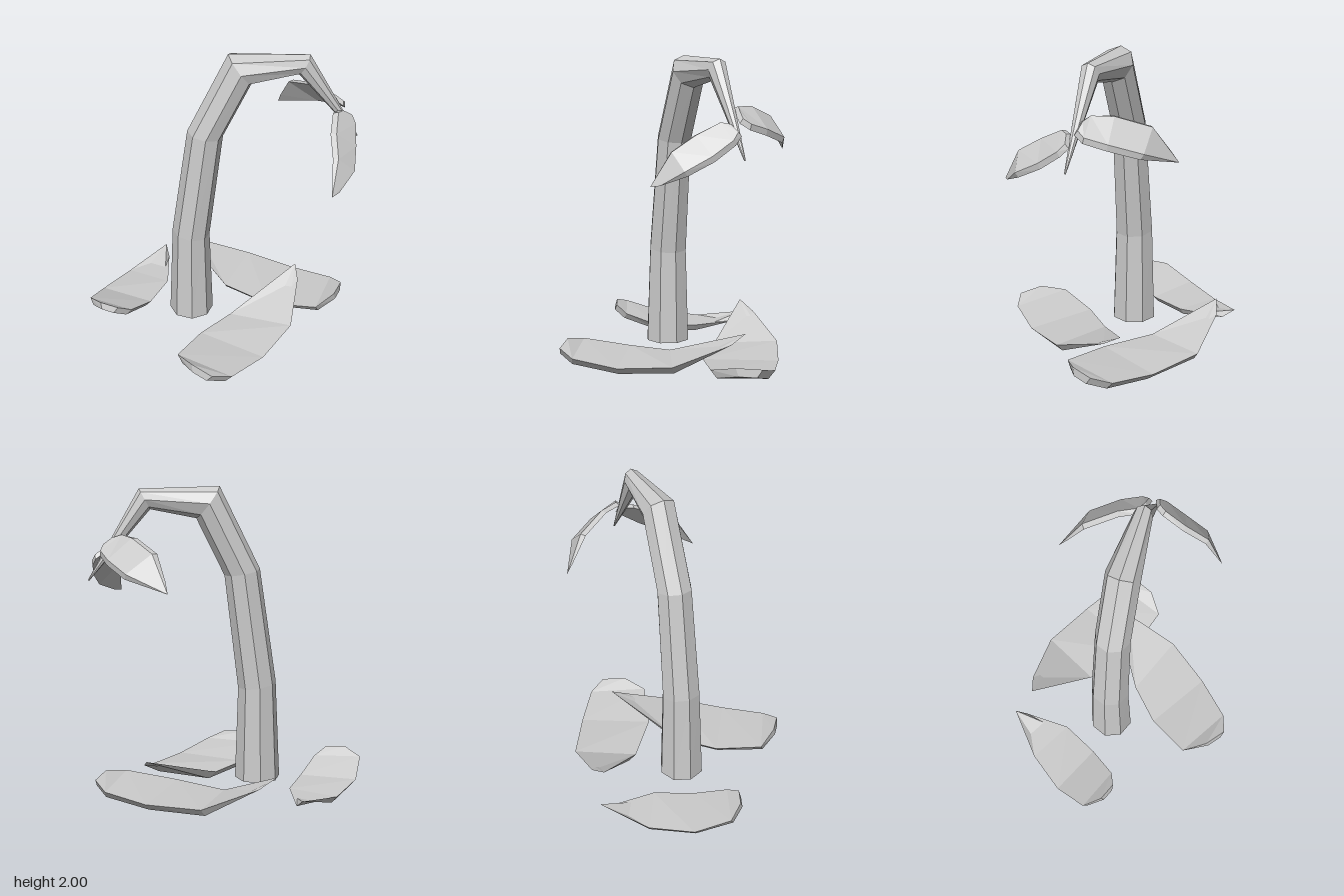
import * as THREE from 'three';

const material = new THREE.MeshStandardMaterial({ color: 0xcccccc, flatShading: true, side: THREE.DoubleSide });

// Skin a row of equal-sized closed rings, optionally closing the first one (four corners).
function loft(rings, capStart) {
  const pos = [];
  const quad = (a, b, c, d) => {
    for (const p of [a, b, c, a, c, d]) pos.push(p.x, p.y, p.z);
  };
  for (let i = 0; i < rings.length - 1; i++) {
    const n = rings[i].length;
    for (let j = 0; j < n; j++) {
      const k = (j + 1) % n;
      quad(rings[i][j], rings[i][k], rings[i + 1][k], rings[i + 1][j]);
    }
  }
  if (capStart) quad(rings[0][3], rings[0][2], rings[0][1], rings[0][0]);
  const geo = new THREE.BufferGeometry();
  geo.setAttribute('position', new THREE.Float32BufferAttribute(pos, 3));
  geo.computeVertexNormals();
  return geo;
}

// Octagonal stem: each row is outer x, y, inner x, y, half width in z.
function stemGeometry() {
  const rows = [
    [-0.34, 0.06, -0.04, 0.06, 0.15],
    [-0.31, 0.72, -0.06, 0.68, 0.13],
    [-0.20, 1.47, 0.03, 1.43, 0.115],
    [0.06, 2.0, 0.21, 1.80, 0.11],
    [0.57, 1.99, 0.50, 1.86, 0.06],
    [0.90, 1.42, 0.895, 1.41, 0.006],
  ];
  const rings = rows.map(([ox, oy, ix, iy, r]) => Array.from({ length: 8 }, (_, j) => {
    const a = (j * Math.PI) / 4;
    const c = Math.cos(a) / 2;
    return new THREE.Vector3(
      (ox + ix) / 2 + c * (ox - ix), (oy + iy) / 2 + c * (oy - iy), -0.075 + r * Math.sin(a));
  }));
  return loft(rings, false);
}

// Leaf: left and right rim points from blunt end to tip; the back bulges out by depth.
function leafGeometry(rows, depth) {
  const rim = rows.map(([lx, ly, lz, rx, ry, rz]) =>
    [new THREE.Vector3(lx, ly, lz), new THREE.Vector3(rx, ry, rz)]);
  const mids = rim.map(([l, r]) => l.clone().lerp(r, 0.5));
  const last = rim.length - 1;
  const rings = rim.map(([l, r], i) => {
    if (i === last) return [l, r, r, l];
    const along = mids[Math.min(i + 1, last)].clone().sub(mids[Math.max(i - 1, 0)]);
    const down = r.clone().sub(l).cross(along).normalize().multiplyScalar(-depth);
    const back = [r, l].map((p) => {
      const q = p.clone().lerp(mids[i], 0.2);
      if (i === 0) q.lerp(mids[1], 0.15);
      return q.add(down);
    });
    return [l, r, ...back];
  });
  return loft(rings, true);
}

const leaves = {
  frontGroundLeaf: [0.05, [
    [-0.20, 0.14, 0.65, -0.07, 0.12, 0.75],
    [-0.29, 0.10, 0.50, 0.06, 0.08, 0.71],
    [-0.13, 0.06, 0.23, 0.28, 0.05, 0.49],
    [0.08, 0.06, 0.03, 0.49, 0.08, 0.20],
    [0.56, 0.26, -0.28, 0.57, 0.20, -0.17]]],
  backGroundLeaf: [0.05, [
    [0.82, 0.14, -0.07, 0.89, 0.13, -0.22],
    [0.68, 0.10, 0.03, 0.83, 0.09, -0.34],
    [0.35, 0.06, -0.08, 0.58, 0.06, -0.51],
    [0.06, 0.06, -0.31, 0.25, 0.08, -0.69],
    [-0.23, 0.26, -0.66, -0.11, 0.20, -0.70]]],
  rightGroundLeaf: [0.045, [
    [-0.82, 0.20, 0.05, -0.70, 0.19, 0.10],
    [-0.90, 0.16, -0.06, -0.61, 0.14, 0.06],
    [-0.82, 0.08, -0.28, -0.48, 0.07, -0.12],
    [-0.64, 0.06, -0.52, -0.36, 0.07, -0.36],
    [-0.37, 0.13, -0.75, -0.35, 0.07, -0.67]]],
  frontHangingLeaf: [0.03, [
    [0.76, 1.61, -0.05, 0.85, 1.55, -0.08],
    [0.72, 1.62, 0.00, 0.87, 1.50, -0.03],
    [0.69, 1.55, 0.15, 0.86, 1.41, 0.10],
    [0.69, 1.46, 0.30, 0.83, 1.33, 0.26],
    [0.68, 1.26, 0.43, 0.73, 1.27, 0.39]]],
  backHangingLeaf: [0.03, [
    [0.80, 1.62, -0.09, 0.72, 1.68, -0.10],
    [0.82, 1.58, -0.15, 0.65, 1.70, -0.13],
    [0.78, 1.54, -0.28, 0.59, 1.70, -0.25],
    [0.68, 1.48, -0.45, 0.48, 1.63, -0.44],
    [0.43, 1.41, -0.60, 0.44, 1.48, -0.55]]],
};

export function createModel() {
  const model = new THREE.Group();
  model.name = 'droopingPlant';
  const add = (name, geo) => {
    const mesh = new THREE.Mesh(geo, material);
    mesh.name = name;
    model.add(mesh);
  };
  add('stem', stemGeometry());
  for (const [name, [depth, rows]] of Object.entries(leaves)) add(name, leafGeometry(rows, depth));
  return model;
}
